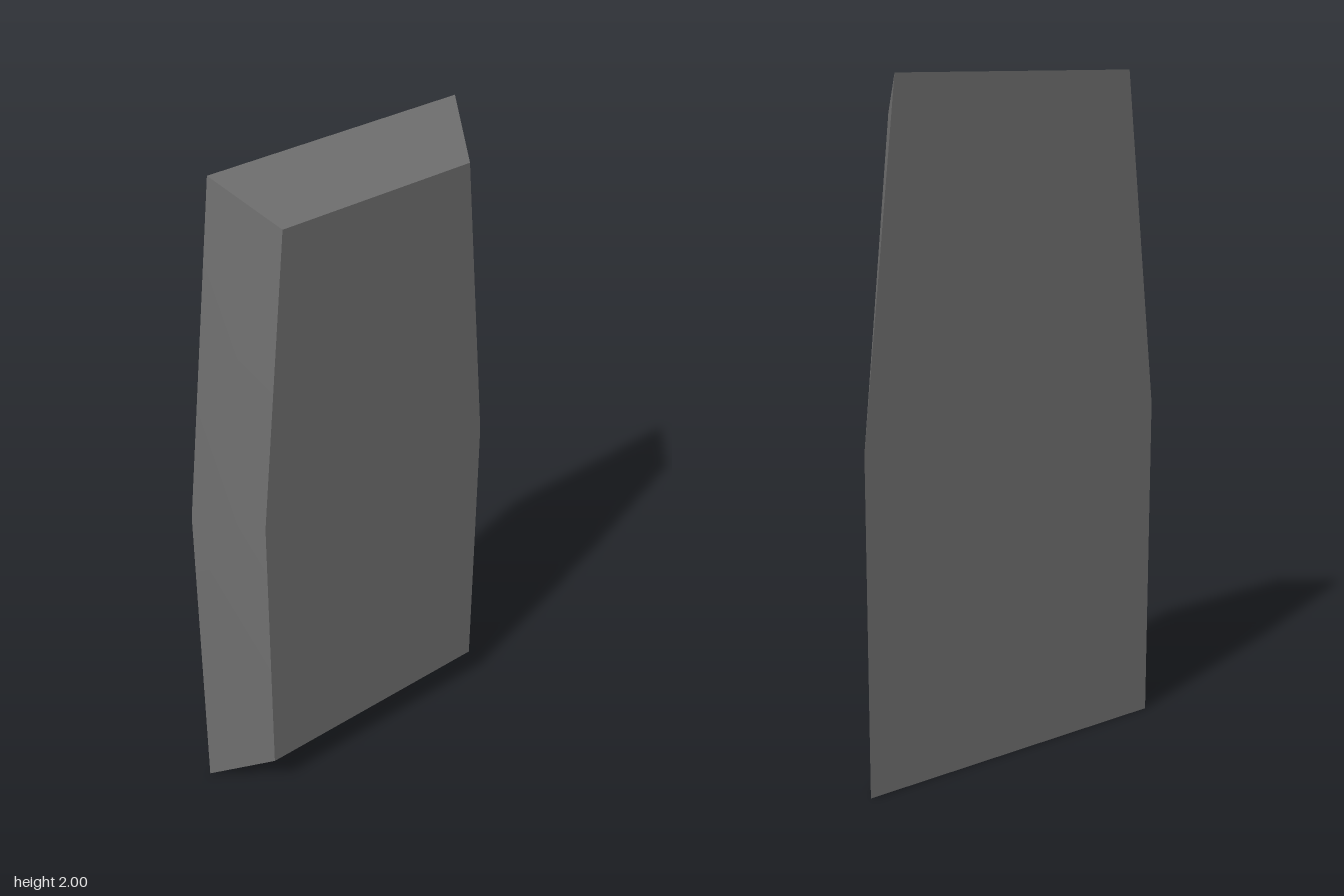
import * as THREE from 'three';
import { toCreasedNormals } from 'three/addons/utils/BufferGeometryUtils.js';

// Six-sided outline in the z-y plane, counter-clockwise when seen from +x
function outline(x, bottom, top, halfWidth, halfTop) {
  return [
    [halfWidth, bottom], [-halfWidth, bottom], [-halfWidth, 1],
    [-halfTop, top], [halfTop, top], [halfWidth, 1],
  ].map(([z, y]) => new THREE.Vector3(x, y, z));
}

export function createModel() {
  const back = outline(-0.088, 0, 2, 0.525, 0.41);
  const front = outline(0.088, 0.113, 1.89, 0.4, 0.312);
  const points = [];
  const quad = (a, b, c, d) => points.push(a, b, c, a, c, d);

  // Sloped rim joining the two outlines
  for (let i = 0; i < 6; i++) {
    const j = (i + 1) % 6;
    quad(back[i], back[j], front[j], front[i]);
  }
  // Flat faces, each a lower rectangle and an upper taper
  const f = front, b = back;
  quad(f[0], f[1], f[2], f[5]);
  quad(f[5], f[2], f[3], f[4]);
  quad(b[5], b[2], b[1], b[0]);
  quad(b[4], b[3], b[2], b[5]);

  // Sharp rim edges, with a soft bend where the sides start to taper
  const geometry = toCreasedNormals(
    new THREE.BufferGeometry().setFromPoints(points), Math.PI / 6
  );
  const panel = new THREE.Mesh(
    geometry,
    new THREE.MeshStandardMaterial({ color: 0x707070 })
  );
  panel.name = 'bevelledPanel';

  const group = new THREE.Group();
  group.name = 'taperedPanel';
  group.add(panel);
  return group;
}
